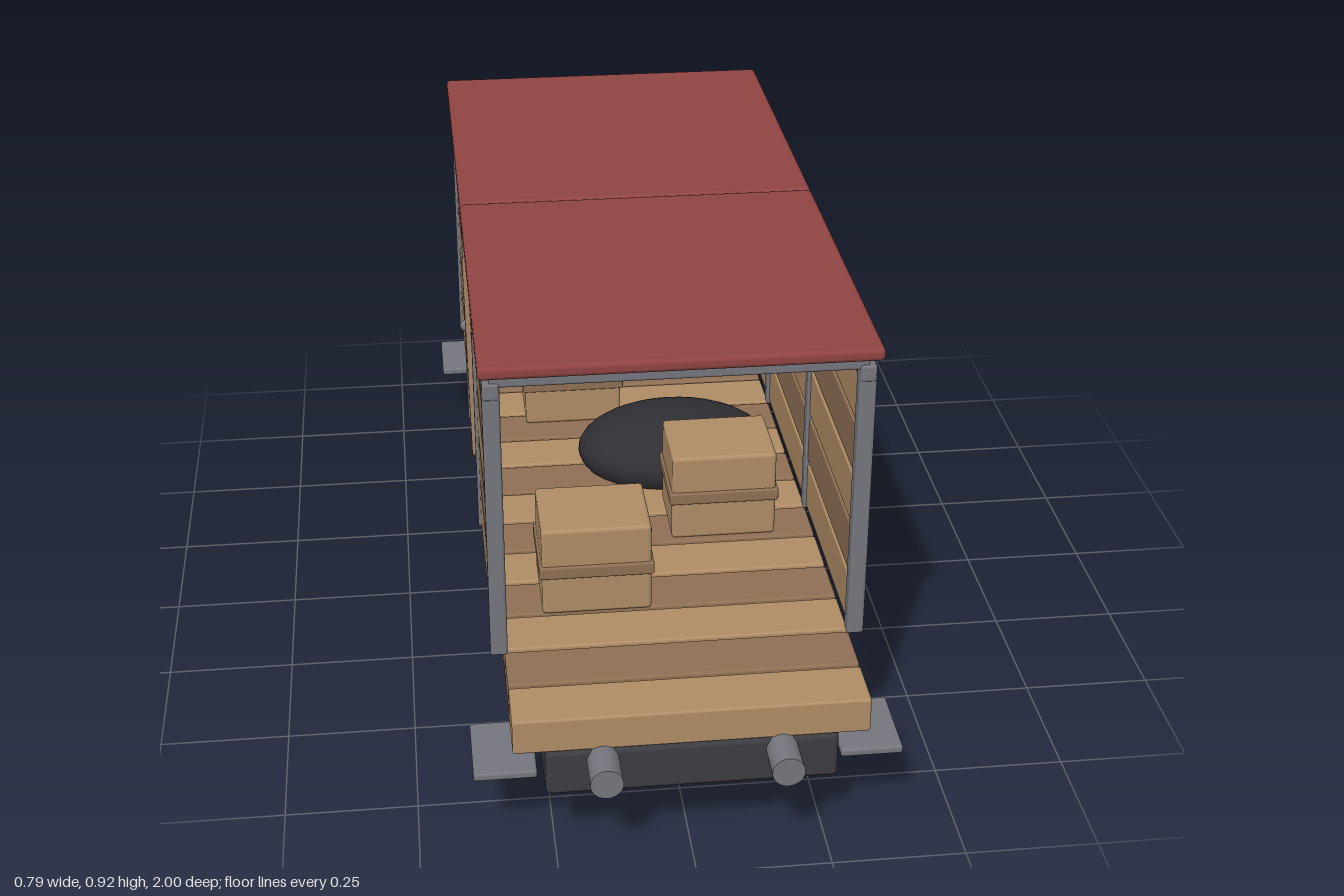
import * as THREE from 'three';
import { RoundedBoxGeometry } from 'three/addons/geometries/RoundedBoxGeometry.js';

const mat = (color) => new THREE.MeshStandardMaterial({ color });
const M = {
  light: mat(0xb08d66), dark: mat(0x8f7055), iron: mat(0x3c3c42), tyre: mat(0x36363b),
  steel: mat(0x76777e), red: mat(0x904442), hub: mat(0xb5503f), sack: mat(0x2f2f34),
};

export function createModel() {
  const root = new THREE.Group();

  const add = (name, geo, material, x, y, z, parent = root) => {
    const mesh = new THREE.Mesh(geo, material);
    mesh.name = name;
    mesh.position.set(x, y, z);
    parent.add(mesh);
    return mesh;
  };
  // Box with softly rounded edges, sized w x h x d around its centre
  const box = (name, w, h, d, material, x, y, z, parent, r = 0.005) =>
    add(name, new RoundedBoxGeometry(w, h, d, 2, Math.min(r, 0.4 * Math.min(w, h, d))), material, x, y, z, parent);

  // Chassis and deck
  box('chassis', 0.535, 0.093, 1.86, M.iron, 0, 0.192, 0, root, 0.01);
  const deck = new THREE.Group();
  deck.name = 'deck';
  root.add(deck);
  const planks = 16, pitch = 1.86 / planks;
  for (let i = 0; i < planks; i++) {
    box('deckPlank', 0.65, 0.07, pitch - 0.008, i % 2 ? M.light : M.dark,
      0, 0.273, -0.93 + (i + 0.5) * pitch, deck);
  }

  // Wheel profile with bevelled rim, revolved and laid on its side
  const wheelGeo = new THREE.LatheGeometry([
    [0, -0.015], [0.075, -0.015], [0.075, -0.015], [0.083, -0.009], [0.083, -0.009],
    [0.083, 0.009], [0.083, 0.009], [0.075, 0.015], [0.075, 0.015], [0, 0.015],
  ].map(([r, h]) => new THREE.Vector2(r, h)), 32).rotateZ(Math.PI / 2);
  const hubGeo = new THREE.CylinderGeometry(0.022, 0.022, 0.046, 20).rotateZ(Math.PI / 2);
  const bufferGeo = new THREE.CylinderGeometry(0.03, 0.03, 0.09, 24).rotateX(Math.PI / 2);

  // Running gear, buffers and steps at all four corners
  for (const sx of [-1, 1]) {
    for (const sz of [-1, 1]) {
      add('wheel', wheelGeo, M.tyre, sx * 0.198, 0.086, sz * 0.65);
      add('wheelHub', hubGeo, M.hub, sx * 0.198, 0.086, sz * 0.65);
      add('buffer', bufferGeo, M.steel, sx * 0.163, 0.215, sz * 0.955);
      box('step', 0.116, 0.016, 0.16, M.steel, sx * 0.338, 0.168, sz * 0.815);
    }
  }

  // Side walls: posts, top rail, boards, door brace and knob
  const postZ = [-0.7, -0.233, 0.233, 0.7];
  for (const sx of [-1, 1]) {
    const wall = new THREE.Group();
    wall.name = sx > 0 ? 'leftWall' : 'rightWall';
    root.add(wall);
    const x = sx * 0.335;
    for (const z of postZ) box('post', 0.032, 0.555, 0.03, M.steel, x, 0.587, z, wall);
    box('topRail', 0.03, 0.032, 1.435, M.steel, x, 0.859, 0, wall);
    for (let i = 0; i < 5; i++) {
      box('wallBoard', 0.02, 0.099, 1.39, i % 2 ? M.dark : M.light, x, 0.365 + i * 0.106, 0, wall);
    }
    const brace = box('doorBrace', 0.014, 0.42, 0.028, M.dark, sx * 0.348, 0.576, 0, wall);
    brace.rotation.x = -Math.atan2(0.26, 0.335);
    add('doorKnob', new THREE.SphereGeometry(0.013, 16, 12), M.steel, sx * 0.35, 0.564, -0.172, wall);
  }

  // Roof in two halves on cross bars
  for (const z of postZ) box('roofBar', 0.675, 0.027, 0.025, M.steel, 0, 0.879, z);
  for (const sz of [-1, 1]) box('roofPanel', 0.717, 0.025, 0.741, M.red, 0, 0.907, sz * 0.3715, root, 0.009);

  // Cargo: strapped crates and a dark sack
  for (const [x, z] of [[-0.14, 0.5], [0.14, 0.25], [0.13, -0.48], [-0.12, -0.27]]) {
    const crate = new THREE.Group();
    crate.name = 'crate';
    crate.position.set(x, 0.308, z);
    root.add(crate);
    box('crateBody', 0.21, 0.184, 0.17, M.light, 0, 0.092, 0, crate, 0.008);
    box('crateStrap', 0.22, 0.027, 0.18, M.dark, 0, 0.093, 0, crate);
  }
  add('sack', new THREE.SphereGeometry(1, 32, 20), M.sack, 0.08, 0.34, 0).scale.set(0.205, 0.085, 0.15);

  return root;
}
